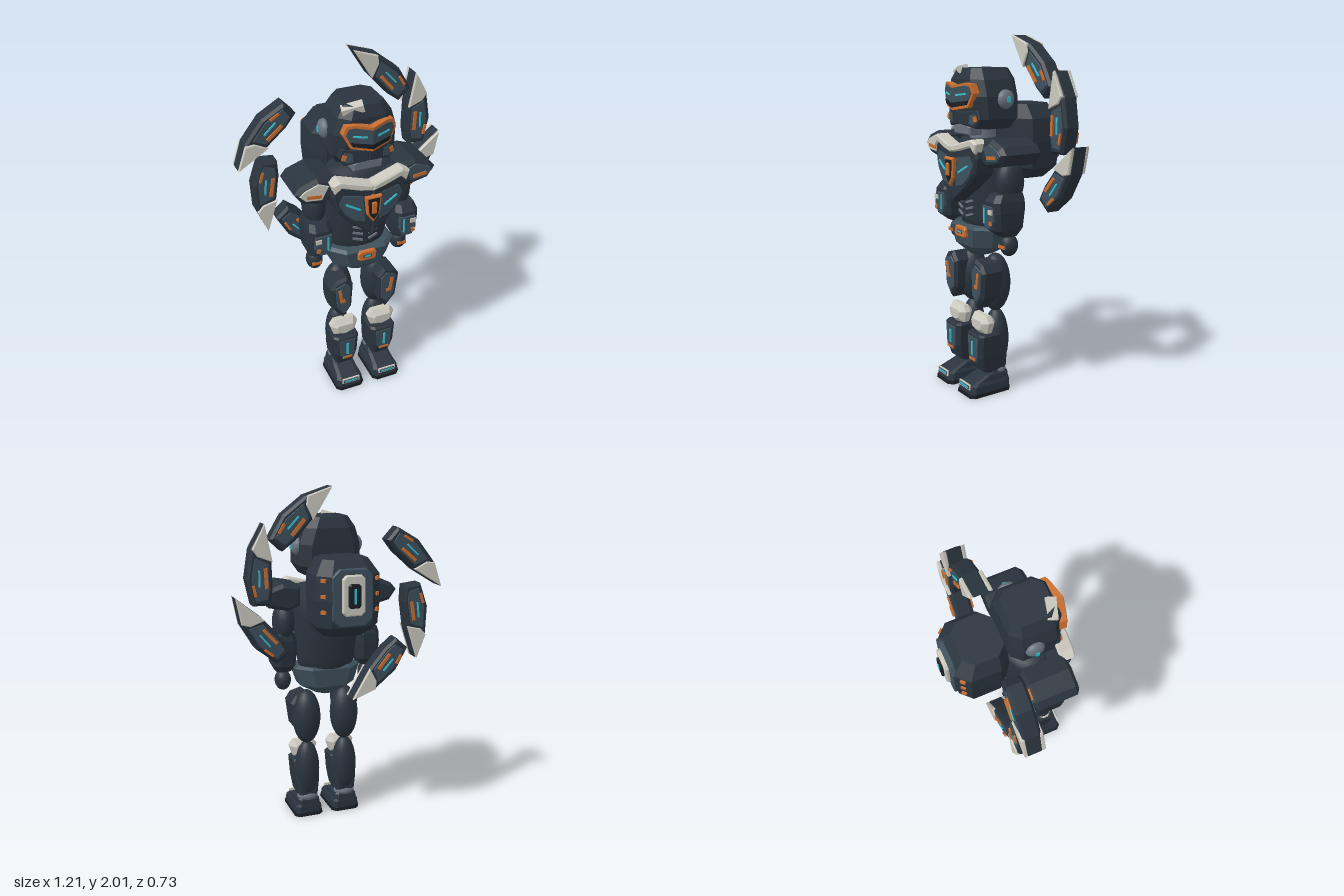
import * as THREE from 'three';

const paint = (name, color) => {
  const m = new THREE.MeshStandardMaterial({ color });
  m.name = name;
  return m;
};
const navy = paint('navy armour', 0x2a343e), slate = paint('slate panel', 0x3e505c), black = paint('black trim', 0x191e23);
const orange = paint('orange', 0xc96e30), cyan = paint('cyan light', 0x35c4d2), white = paint('bone white', 0xcbc9be);
const grey = paint('grey joint', 0x69737f);

let parent;
function add(name, geo, mat, flat = true) {
  if (flat) {
    if (geo.index) geo = geo.toNonIndexed();
    geo.computeVertexNormals();
  }
  const mesh = new THREE.Mesh(geo, mat);
  mesh.name = name;
  parent.add(mesh);
  return mesh;
}

// Stack of chamfered rectangles; each section is [y, halfWidth, zBack, zFront]
function loft(name, mat, sections, x = 0, chamfer = 0.3) {
  const pos = [], idx = [], n = 8;
  for (const [y, w, z0, z1] of sections) {
    const d = (z1 - z0) / 2, zc = (z0 + z1) / 2, c = chamfer * 2 * Math.min(w, d);
    for (const [px, pz] of [[w, -d + c], [w, d - c], [w - c, d], [c - w, d], [-w, d - c], [-w, c - d], [c - w, -d], [w - c, -d]])
      pos.push(x + px, y, zc + pz);
  }
  const last = (sections.length - 1) * n;
  for (let i = 0; i < n; i++) {
    const j = (i + 1) % n;
    for (let k = 0; k < last; k += n) idx.push(k + i, k + n + i, k + j, k + n + i, k + n + j, k + j);
    if (i > 0 && i < n - 1) idx.push(0, i, i + 1, last, last + i + 1, last + i);
  }
  const geo = new THREE.BufferGeometry();
  geo.setAttribute('position', new THREE.Float32BufferAttribute(pos, 3));
  geo.setIndex(idx);
  return add(name, geo, mat);
}

// Outline extruded from z0 to z1, with a bevel; fold sweeps it back away from x = 0
function plate(name, mat, pts, z0, z1, bevel = 0, fold = 0) {
  const shape = new THREE.Shape(pts.map(p => new THREE.Vector2(...p)));
  const geo = new THREE.ExtrudeGeometry(shape, {
    depth: z1 - z0 - 2 * bevel, bevelEnabled: bevel > 0, bevelThickness: bevel,
    bevelSize: bevel, bevelOffset: -bevel, bevelSegments: 1
  });
  geo.translate(0, 0, z0 + bevel);
  const p = geo.attributes.position;
  for (let i = 0; i < p.count; i++) p.setZ(i, p.getZ(i) - fold * Math.abs(p.getX(i)));
  return add(name, geo, mat);
}

function bar(name, mat, x, y, z, w, h, turn = 0, yaw = 0) {
  const m = add(name, new THREE.BoxGeometry(w, h, 0.009), mat);
  m.position.set(x, y, z);
  m.rotation.set(0, yaw, turn);
  return m;
}

function ball(name, mat, x, y, z, rx, ry, rz) {
  const m = add(name, new THREE.SphereGeometry(1, 20, 14), mat, false);
  m.position.set(x, y, z);
  m.scale.set(rx, ry, rz);
}

const rect = (w, y0, y1, c) => [[-w + c, y0], [w - c, y0], [w, y0 + c], [w, y1 - c], [w - c, y1], [c - w, y1], [-w, y1 - c], [-w, y0 + c]];

function buildCore() {
  // torso, pelvis, neck and helmet
  const profile = [[0, 0.9], [0.15, 0.91], [0.175, 1], [0.187, 1.12], [0.2, 1.26], [0.197, 1.38], [0.165, 1.44], [0, 1.46]];
  const torso = add('torso', new THREE.LatheGeometry(profile.map(p => new THREE.Vector2(...p)), 24), navy, false);
  torso.position.z = 0.115;
  torso.scale.z = 0.7;
  loft('pelvis', slate, [[0.785, 0.06, 0.07, 0.2], [0.845, 0.165, 0.005, 0.255], [0.95, 0.2, 0, 0.27], [0.965, 0.18, 0.02, 0.25]]);
  const neck = add('neck', new THREE.CylinderGeometry(0.075, 0.075, 0.1, 16), grey, false);
  neck.position.set(0, 1.48, 0.125);
  loft('helmet', navy, [[1.505, 0.145, 0.015, 0.22], [1.56, 0.18, -0.02, 0.255], [1.68, 0.178, -0.022, 0.27], [1.77, 0.15, -0.02, 0.27], [1.83, 0.11, 0.005, 0.245]], 0, 0.19);
  plate('chin', grey, [[-0.08, 1.47], [0.08, 1.47], [0.085, 1.515], [0.05, 1.53], [-0.05, 1.53], [-0.085, 1.515]], 0.18, 0.268, 0.008);
  const patch = add('helmetPatch', new THREE.BoxGeometry(0.115, 0.04, 0.055), white);
  patch.position.set(-0.07, 1.812, 0.222);
  patch.rotation.set(0.2, -0.25, 0.3);

  // belt buckle
  plate('buckle', orange, rect(0.055, 0.893, 0.955, 0.012), 0.25, 0.285, 0.006);
  plate('buckleInset', slate, rect(0.026, 0.915, 0.935, 0.003), 0.28, 0.287);
  bar('buckleLight', cyan, 0, 0.925, 0.286, 0.034, 0.008);

  // chest emblem
  plate('emblem', orange, [[-0.047, 1.35], [0.047, 1.35], [0.036, 1.24], [0, 1.19], [-0.036, 1.24]], 0.3, 0.352, 0.006);
  plate('emblemInset', black, [[-0.034, 1.337], [0.034, 1.337], [0.026, 1.244], [0, 1.21], [-0.026, 1.244]], 0.347, 0.355);
  plate('emblemCore', orange, rect(0.014, 1.25, 1.32, 0.004), 0.35, 0.365, 0.003);

  // backpack
  loft('backpack', navy, [[1.21, 0.12, -0.25, -0.05], [1.27, 0.175, -0.31, -0.03], [1.42, 0.185, -0.325, -0.02], [1.55, 0.18, -0.32, -0.02], [1.63, 0.13, -0.26, -0.03]], 0, 0.22);
  plate('backpackPanel', slate, rect(0.115, 1.28, 1.59, 0.04), -0.331, -0.3, 0.005);
  plate('backpackRim', white, rect(0.064, 1.34, 1.56, 0.02), -0.352, -0.32, 0.007);
  plate('backpackInset', black, rect(0.035, 1.385, 1.515, 0.012), -0.366, -0.34, 0.005);
  bar('backpackLight', cyan, 0, 1.45, -0.365, 0.014, 0.08);
}

function buildSide(s) {
  const m = pts => pts.map(([x, y]) => [x * s, y]);
  const half = (name, mat, pts, ...rest) => plate(name, mat, m(pts), ...rest);
  const mark = (name, mat, x, y, z, w, h, turn = 0, yaw = 0) => bar(name, mat, x * s, y, z, w, h, turn * s, yaw * s);

  // visor, cheeks and ear disc
  const visor = [[0, 1.605], [0.11, 1.625], [0.148, 1.7], [0.13, 1.748], [0.09, 1.755], [0, 1.738]];
  half('visorMount', navy, visor, 0.22, 0.285, 0, 0.3);
  half('visorFrame', orange, visor, 0.285, 0.325, 0, 0.3);
  half('visorGlass', slate, [[0, 1.62], [0.102, 1.638], [0.134, 1.7], [0.12, 1.734], [0.09, 1.74], [0, 1.723]], 0.32, 0.329, 0, 0.3);
  half('visorShade', black, [[0, 1.62], [0.102, 1.638], [0.115, 1.662], [0, 1.645]], 0.324, 0.332, 0, 0.3);
  mark('visorLight', cyan, 0.065, 1.692, 0.309, 0.075, 0.01, 0.12, 0.29);
  half('jawPlate', navy, [[0, 1.53], [0.13, 1.51], [0.16, 1.56], [0.145, 1.61], [0, 1.595]], 0.22, 0.285, 0.006, 0.2);
  half('jawPanel', slate, [[0.085, 1.535], [0.12, 1.53], [0.145, 1.565], [0.13, 1.59], [0.09, 1.58]], 0.282, 0.29, 0, 0.2);
  mark('cheekMark', orange, 0.135, 1.562, 0.264, 0.022, 0.03, 0.3, 0.2);
  ball('earDisc', grey, 0.178 * s, 1.665, 0.095, 0.033, 0.052, 0.052);
  const ear = bar('earLight', cyan, 0.21 * s, 1.665, 0.095, 0.02, 0.03);
  ear.rotation.y = Math.PI / 2;

  // chest plate, collar and vents
  half('chestPlate', navy, [[0, 1.4], [0.2, 1.44], [0.215, 1.36], [0.19, 1.27], [0.11, 1.18], [0, 1.1]], 0.2, 0.335, 0.012, 0.13);
  half('chestPanel', slate, [[0.055, 1.355], [0.16, 1.37], [0.185, 1.32], [0.15, 1.255], [0.1, 1.21], [0.042, 1.195]], 0.332, 0.34, 0, 0.13);
  mark('chestLight', cyan, 0.108, 1.295, 0.328, 0.09, 0.01, 0.5, 0.13);
  half('collar', white, [[0, 1.38], [0.07, 1.39], [0.17, 1.418], [0.205, 1.385], [0.225, 1.44], [0.18, 1.462], [0, 1.415]], 0.262, 0.348, 0.009, 0.13);
  for (let i = 0; i < 3; i++) mark('vent', grey, 0.045, 1.025 + i * 0.038, 0.247, 0.058, 0.012, 0.3, 0.15);

  // shoulder, white on the right and slate on the left
  half('shoulder', navy, [[0.18, 1.45], [0.28, 1.468], [0.375, 1.435], [0.408, 1.395], [0.365, 1.335], [0.25, 1.31], [0.18, 1.34]], 0.01, 0.268, 0.02);
  half('shoulderPlate', s < 0 ? white : slate, [[0.22, 1.42], [0.28, 1.445], [0.36, 1.415], [0.385, 1.39], [0.35, 1.355], [0.26, 1.345]], 0.255, 0.274, 0.004);
  mark('shoulderMark', orange, 0.305, 1.375, 0.275, 0.08, 0.018, 0.12);

  // arm
  ball('upperArm', navy, 0.255 * s, 1.23, 0.12, 0.064, 0.12, 0.085);
  loft('forearm', navy, [[0.935, 0.045, 0.09, 0.19], [0.975, 0.062, 0.06, 0.245], [1.07, 0.07, 0.05, 0.26], [1.13, 0.068, 0.05, 0.26], [1.17, 0.055, 0.06, 0.23]], 0.258 * s, 0.22);
  half('forearmPanel', slate, [[0.205, 1.11], [0.3, 1.11], [0.305, 1.03], [0.275, 0.985], [0.225, 0.985], [0.205, 1.04]], 0.24, 0.266, 0.004);
  mark('forearmPatch', white, 0.283, 1.08, 0.268, 0.034, 0.026);
  mark('forearmLight', cyan, 0.228, 1.055, 0.268, 0.009, 0.085);
  mark('forearmMark', orange, 0.285, 1.02, 0.268, 0.02, 0.024, 0.3);
  ball('hand', navy, 0.262 * s, 0.88, 0.13, 0.048, 0.062, 0.052);
  mark('knuckleBand', orange, 0.265, 0.875, 0.18, 0.055, 0.018);

  // leg
  ball('thigh', navy, 0.12 * s, 0.635, 0.125, 0.085, 0.168, 0.087);
  half('thighPlate', navy, [[0.075, 0.73], [0.115, 0.785], [0.185, 0.765], [0.215, 0.72], [0.195, 0.57], [0.135, 0.5], [0.085, 0.57]], 0.12, 0.266, 0.016);
  half('thighPanel', slate, [[0.095, 0.72], [0.13, 0.755], [0.19, 0.73], [0.18, 0.595], [0.14, 0.54], [0.1, 0.575]], 0.258, 0.27, 0.003);
  mark('thighMark', orange, 0.158, 0.67, 0.271, 0.018, 0.09, -0.15);
  mark('thighMarkFoot', orange, 0.14, 0.632, 0.271, 0.02, 0.02, -0.15);
  ball('calf', navy, 0.12 * s, 0.3, 0.12, 0.075, 0.18, 0.07);
  half('kneeCap', white, [[0.034, 0.425], [0.06, 0.462], [0.18, 0.462], [0.206, 0.425], [0.185, 0.36], [0.12, 0.342], [0.055, 0.36]], 0.165, 0.256, 0.03);
  loft('shinGuard', navy, [[0.115, 0.05, 0.1, 0.21], [0.14, 0.06, 0.08, 0.25], [0.22, 0.07, 0.08, 0.276], [0.345, 0.08, 0.12, 0.278], [0.355, 0.07, 0.13, 0.265]], 0.12 * s, 0.15);
  half('shinPanel', slate, [[0.068, 0.335], [0.172, 0.335], [0.165, 0.225], [0.15, 0.19], [0.09, 0.19], [0.075, 0.225]], 0.262, 0.281, 0.003);
  mark('shinLight', cyan, 0.12, 0.27, 0.283, 0.013, 0.08);
  mark('shinMark', orange, 0.12, 0.205, 0.282, 0.06, 0.013);
  ball('ankle', grey, 0.12 * s, 0.12, 0.12, 0.065, 0.038, 0.05);
  loft('foot', navy, [[0, 0.087, 0.07, 0.34], [0.06, 0.08, 0.07, 0.33], [0.075, 0.07, 0.072, 0.3], [0.105, 0.066, 0.075, 0.225], [0.125, 0.05, 0.09, 0.17]], 0.12 * s, 0.14);
  loft('sole', black, [[0, 0.089, 0.068, 0.342], [0.02, 0.087, 0.07, 0.34]], 0.12 * s, 0.14);
  mark('toeFrame', white, 0.12, 0.06, 0.333, 0.11, 0.032);
  mark('toeInset', slate, 0.12, 0.06, 0.335, 0.094, 0.02);
  mark('toeLight', cyan, 0.12, 0.06, 0.337, 0.08, 0.01);

  // clips on the side of the backpack
  for (const y of [1.36, 1.445, 1.53]) {
    const clip = add('backpackClip', new THREE.BoxGeometry(0.036, 0.02, 0.028), orange);
    clip.position.set(0.145 * s, y, -0.283);
    clip.rotation.y = s * Math.PI / 4;
  }
}

// Floating blade drawn from its tail up to its tip, decorated on both faces
function buildBlade([x0, y0, x1, y1]) {
  parent = new THREE.Group();
  parent.name = 'blade';
  parent.position.set(x0, y0, -0.09);
  parent.rotation.z = Math.atan2(x0 - x1, y1 - y0) - 0.046;
  plate('bladeBody', navy, [[-0.048, 0], [0.048, 0], [0.08, 0.143], [0.055, 0.3], [-0.02, 0.435], [-0.058, 0.25], [-0.063, 0.09]], -0.05, 0.05, 0.014);
  for (const s of [-1, 1]) {
    const face = (name, mat, pts, a, b, bevel) => plate(name, mat, pts, Math.min(a * s, b * s), Math.max(a * s, b * s), bevel);
    face('bladePanel', slate, [[-0.032, 0.035], [0.032, 0.025], [0.055, 0.14], [0.037, 0.26], [-0.038, 0.225], [-0.043, 0.09]], 0.04, 0.053, 0.002);
    face('bladeTip', white, [[-0.02, 0.435], [0.05, 0.305], [0.022, 0.265], [-0.06, 0.235]], 0.038, 0.06, 0.005);
    bar('bladeStripe', orange, -0.022, 0.15, 0.06 * s, 0.018, 0.11, -0.05);
    bar('bladeStripe', orange, 0.042, 0.085, 0.058 * s, 0.014, 0.06, -0.2);
    bar('bladeLight', cyan, 0.014, 0.15, 0.055 * s, 0.009, 0.09);
  }
  return parent;
}

export function createModel() {
  const model = new THREE.Group();
  model.name = 'armouredRobot';
  const body = new THREE.Group();
  body.name = 'body';
  body.position.x = 0.012;
  model.add(body);
  parent = body;
  buildCore();
  for (const s of [-1, 1]) buildSide(s);

  // ring of six blades: tail x, y and tip x, y
  for (const b of [[0.373, 1.703, 0.066, 2], [0.458, 1.385, 0.436, 1.82], [0.341, 1.0875, 0.6, 1.432],
    [-0.299, 1.74, -0.6, 1.432], [-0.43, 1.448, -0.458, 1.02], [-0.37, 1.11, -0.06, 0.793]]) model.add(buildBlade(b));
  return model;
}
